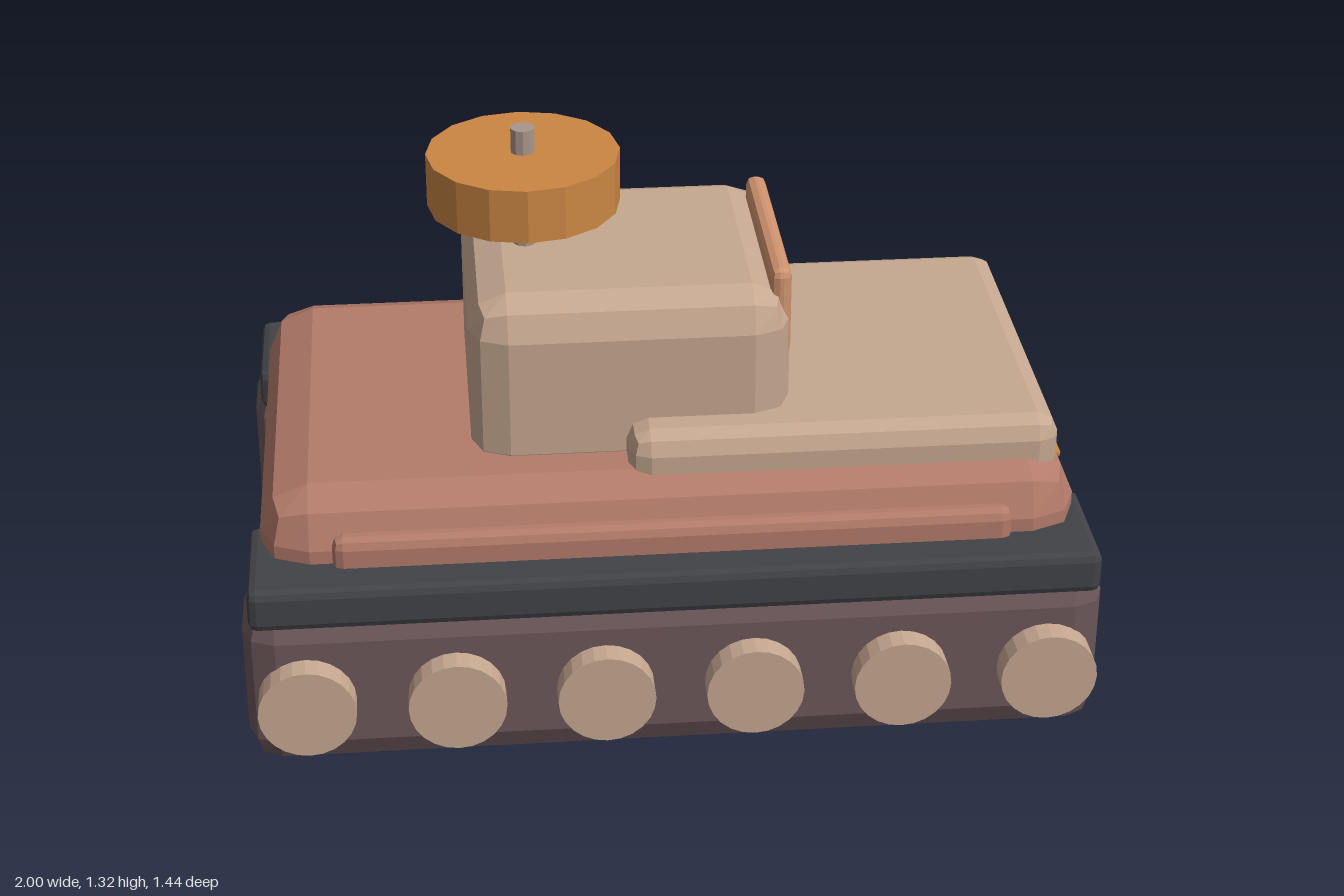
import * as THREE from 'three';
import { RoundedBoxGeometry } from 'three/addons/geometries/RoundedBoxGeometry.js';

const flat = (name, color) => {
  const m = new THREE.MeshStandardMaterial({ color, flatShading: true });
  m.name = name;
  return m;
};

export function createModel() {
  const clay = flat('clay hull', 0xb37b6a);
  const tan = flat('tan plating', 0xc6a890);
  const plum = flat('plum track', 0x6c575a);
  const slate = flat('slate fender', 0x414347);
  const orange = flat('orange drum', 0xca8643);
  const apricot = flat('apricot hatch', 0xcf936e);
  const steel = flat('warm grey pole', 0xa8968a);

  const model = new THREE.Group();
  model.name = 'trackedVehicle';

  const add = (name, geometry, material, x, y, z) => {
    const mesh = new THREE.Mesh(geometry, material);
    mesh.name = name;
    mesh.position.set(x, y, z);
    model.add(mesh);
    return mesh;
  };

  // Box given by its limits, with a two-facet bevel on every edge
  const bevelBox = (name, material, [x0, x1], [y0, y1], [z0, z1], bevel) =>
    add(name, new RoundedBoxGeometry(x1 - x0, y1 - y0, z1 - z0, 1, bevel), material,
      (x0 + x1) / 2, (y0 + y1) / 2, (z0 + z1) / 2);

  // Hull, raised deck and cabin
  bevelBox('hull', clay, [-0.952, 0.952], [0.15, 0.638], [-0.553, 0.553], 0.115);
  bevelBox('deck', tan, [-0.095, 0.913], [0.54, 0.725], [-0.458, 0.458], 0.05);
  bevelBox('cabin', tan, [-0.455, 0.295], [0.55, 1.02], [-0.356, 0.356], 0.09);

  // Hatch plate on the cabin's leading face
  bevelBox('hatchPlate', apricot, [0.248, 0.297], [0.83, 1.056], [-0.256, 0.284], 0.02);

  // Drum on its pole
  add('pole', new THREE.CylinderGeometry(0.029, 0.029, 0.335, 10), steel, -0.308, 1.1475, 0);
  add('drum', new THREE.CylinderGeometry(0.228, 0.228, 0.13, 16), orange, -0.308, 1.19, 0);

  const wheel = new THREE.CylinderGeometry(0.113, 0.113, 0.14, 24);
  wheel.rotateX(Math.PI / 2);

  for (const side of [1, -1]) {
    const label = side > 0 ? 'left' : 'right';
    const span = (a, b) => (side > 0 ? [a, b] : [-b, -a]);

    // Track, fender and side panel
    bevelBox(label + 'Track', plum, [-1, 1], [0, 0.42], span(0.38, 0.662), 0.075);
    bevelBox(label + 'Fender', slate, [-0.98, 0.98], [0.385, 0.49], span(0.37, 0.672), 0.02);
    bevelBox(label + 'SidePanel', clay, [-0.785, 0.785], [0.43, 0.56], span(0.5, 0.578), 0.025);

    // Road wheels
    for (let i = 0; i < 6; i++) {
      add(label + 'Wheel' + (i + 1), wheel, tan, -0.857 + i * 0.3435, 0.19, side * 0.65);
    }

    // Narrow vision slit at the hull's leading edge
    bevelBox(label + 'Slit', orange, [0.89, 0.945], [0.554, 0.572], span(0.19, 0.332), 0.006);
  }

  return model;
}
